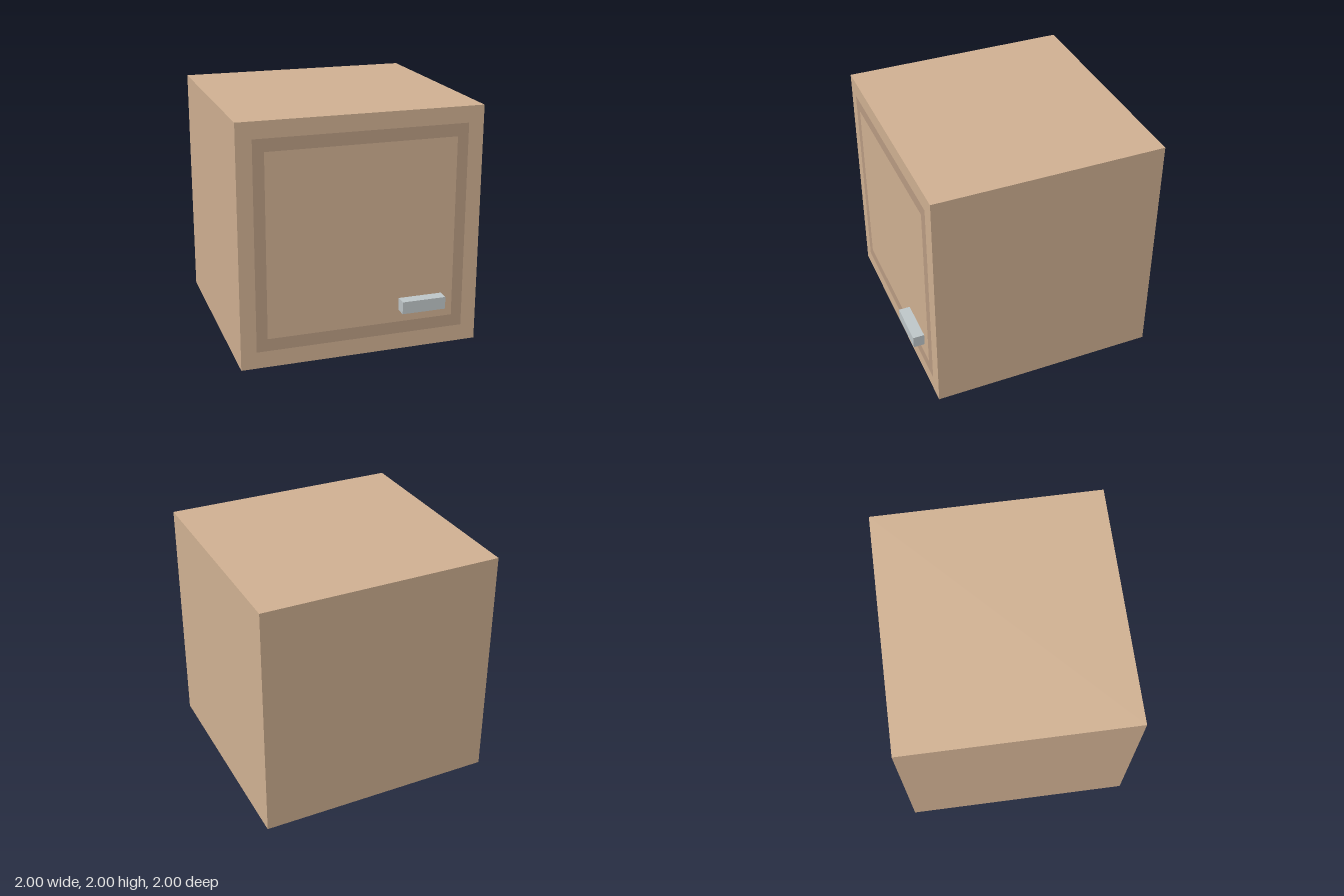
import * as THREE from 'three';

const FRONT = 0.905; // z of the cabinet's front face

function addMesh(group, name, geometry, color, x, y, z) {
  const mesh = new THREE.Mesh(geometry, new THREE.MeshStandardMaterial({ color }));
  mesh.name = name;
  mesh.position.set(x, y, z);
  group.add(mesh);
}

// Corners of an axis-aligned rectangle, counter-clockwise
function rectangle(x, y0, y1) {
  return [[-x, y0], [x, y0], [x, y1], [-x, y1]].map(([px, py]) => new THREE.Vector2(px, py));
}

export function createModel() {
  const group = new THREE.Group();
  group.name = 'cabinet';

  // Plain box body
  addMesh(group, 'cabinetBody', new THREE.BoxGeometry(2, 2, FRONT + 1), 0xd3b394, 0, 1, (FRONT - 1) / 2);

  // Darker flat border marking out the door panel
  const border = new THREE.Shape(rectangle(0.873, 0.14, 1.865));
  border.holes.push(new THREE.Path(rectangle(0.782, 0.243, 1.762)));
  addMesh(group, 'doorBorder', new THREE.ShapeGeometry(border), 0xbc9e84, 0, 0, FRONT + 0.002);

  // Bar handle low on the door's left
  addMesh(group, 'doorHandle', new THREE.BoxGeometry(0.37, 0.103, 1 - FRONT), 0xc1c9cb, 0.5, 0.398, (1 + FRONT) / 2);

  return group;
}
